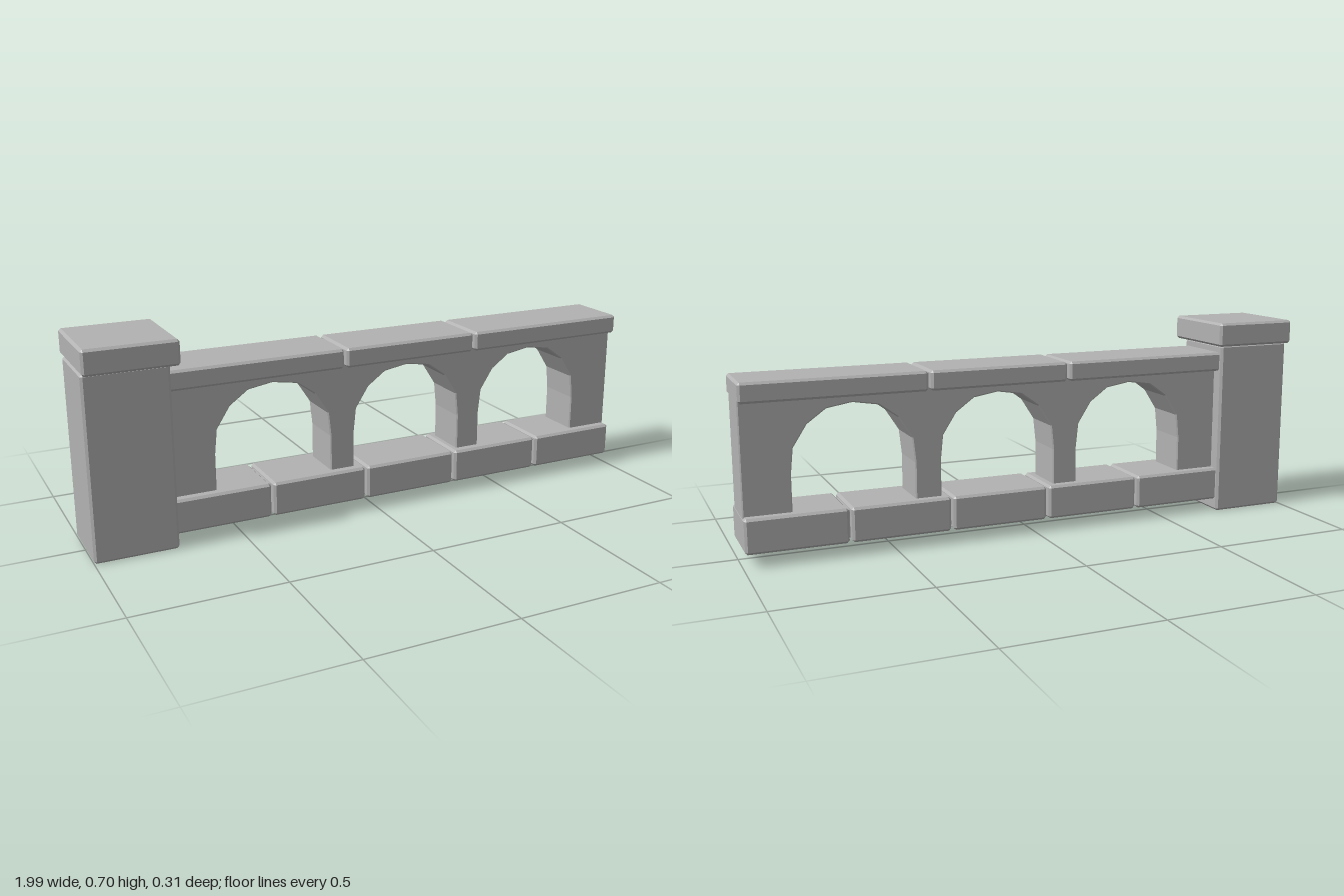
import * as THREE from 'three';
import { ConvexGeometry } from 'three/addons/geometries/ConvexGeometry.js';

const stone = new THREE.MeshStandardMaterial({ color: 0xb2b2b2 });
stone.name = 'greyStone';

// Box with chamfered edges, from x0..x1, y0..y1 and half depth d
function block(name, x0, x1, y0, y1, d, c = 0.008) {
  const half = [(x1 - x0) / 2, (y1 - y0) / 2, d];
  const points = [];
  for (const sx of [-1, 1]) for (const sy of [-1, 1]) for (const sz of [-1, 1]) {
    const s = [sx, sy, sz];
    for (let axis = 0; axis < 3; axis++) {
      const p = half.map((h, i) => s[i] * (i === axis ? h : h - c));
      points.push(new THREE.Vector3(...p));
    }
  }
  const mesh = new THREE.Mesh(new ConvexGeometry(points), stone);
  mesh.name = name;
  mesh.position.set((x0 + x1) / 2, (y0 + y1) / 2, 0);
  return mesh;
}

// Wall panel pierced by three faceted arches
function archedWall() {
  const shape = new THREE.Shape();
  shape.moveTo(-0.76, 0.052);
  shape.lineTo(0.991, 0.052);
  shape.lineTo(0.991, 0.582);
  shape.lineTo(-0.76, 0.582);
  shape.closePath();

  const side = [[0.205, 0.15], [0.205, 0.283], [0.196, 0.367], [0.149, 0.44], [0.085, 0.486]];
  const outline = [...side, [0, 0.5], ...side.map(([x, y]) => [-x, y]).reverse()];
  for (const cx of [-0.371, 0.128, 0.628]) {
    shape.holes.push(new THREE.Path(outline.map(([x, y]) => new THREE.Vector2(cx + x, y))));
  }

  const bevel = 0.004, depth = 0.156;
  const geometry = new THREE.ExtrudeGeometry(shape, {
    depth: depth - 2 * bevel,
    bevelEnabled: true, bevelSegments: 1,
    bevelSize: bevel, bevelThickness: bevel, bevelOffset: -bevel,
  });
  geometry.translate(0, 0, -depth / 2 + bevel);
  const mesh = new THREE.Mesh(geometry, stone);
  mesh.name = 'archedWall';
  return mesh;
}

export function createModel() {
  const model = new THREE.Group();
  model.name = 'stoneBalustrade';

  // End pillar and its cap
  model.add(block('pillar', -1, -0.723, 0, 0.617, 0.124));
  model.add(block('pillarCap', -1, -0.697, 0.616, 0.7, 0.154));

  model.add(archedWall());

  // Coping stones along the top
  [[-0.76, -0.126], [-0.116, 0.373], [0.382, 0.992]].forEach(([a, b], i) =>
    model.add(block(`copingStone${i + 1}`, a, b, 0.523, 0.59, 0.11)));

  // Base stones along the bottom
  [[-0.76, -0.397], [-0.388, -0.049], [-0.039, 0.301], [0.31, 0.649], [0.658, 0.992]].forEach(([a, b], i) =>
    model.add(block(`baseStone${i + 1}`, a, b, 0.043, 0.16, 0.11)));

  return model;
}
